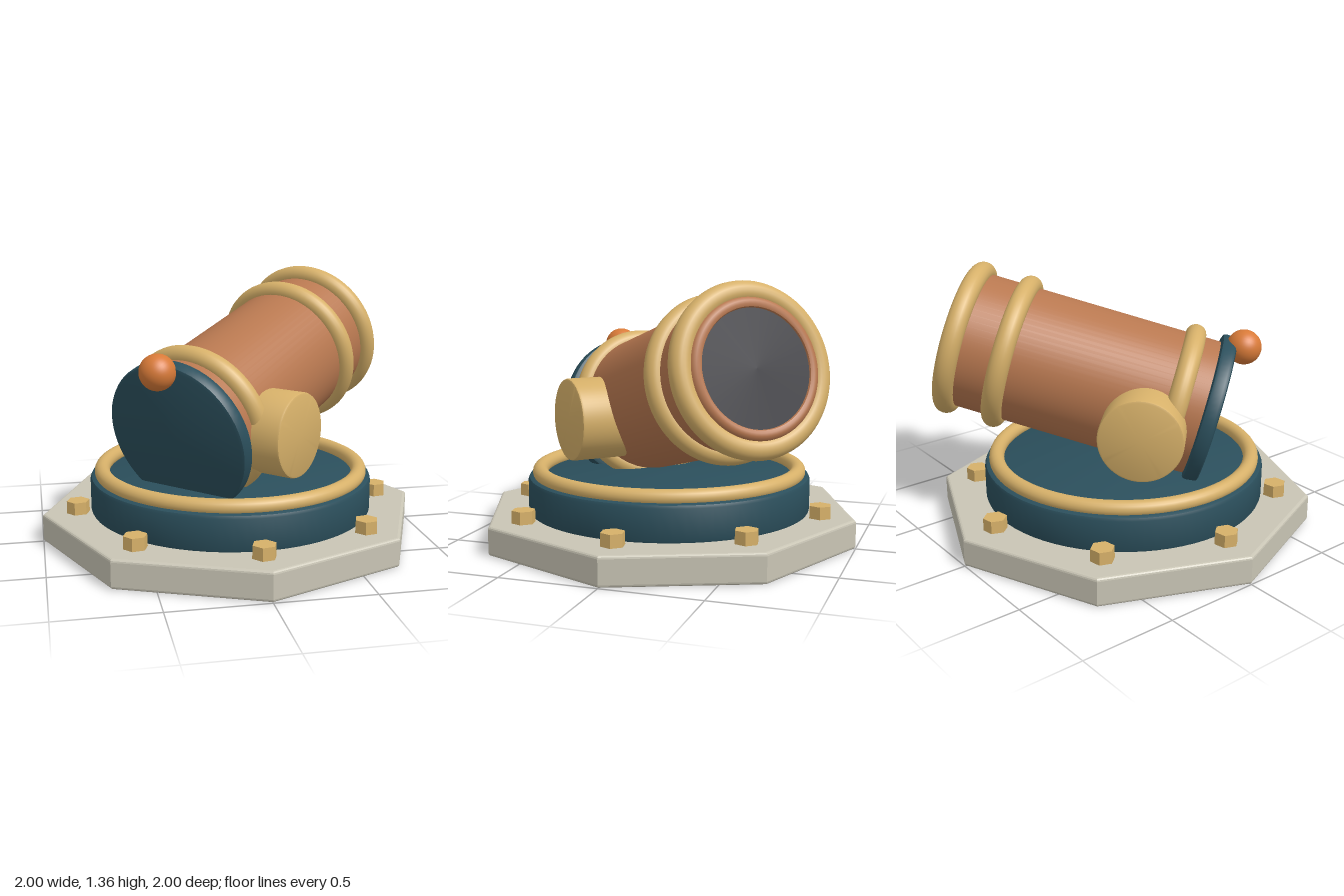
import * as THREE from 'three';
import { toCreasedNormals } from 'three/addons/utils/BufferGeometryUtils.js';

const paint = (name, color) => {
  const m = new THREE.MeshStandardMaterial({ color });
  m.name = name;
  return m;
};

export function createModel() {
  const stone = paint('stone', 0xc9c5b5);
  const teal = paint('teal', 0x2b4f5c);
  const brass = paint('brass', 0xd6b069);
  const copper = paint('copper', 0xb87850);
  const orange = paint('orange', 0xd87a38);
  const dark = paint('dark', 0x1e1e28);

  const model = new THREE.Group();
  model.name = 'mortar';

  const add = (parent, name, geometry, material, x = 0, y = 0, z = 0) => {
    const mesh = new THREE.Mesh(geometry, material);
    mesh.name = name;
    mesh.position.set(x, y, z);
    parent.add(mesh);
    return mesh;
  };

  const lathe = (points, segments = 72) => toCreasedNormals(
    new THREE.LatheGeometry(points.map(([r, y]) => new THREE.Vector2(r, y)), segments), 0.6);

  // Solid disc from y0 to y1 with softened edges
  const disc = (r, y0, y1, b) => {
    const k = b * 0.3;
    return lathe([
      [0, y0], [r - b, y0], [r - k, y0 + k], [r, y0 + b],
      [r, y1 - b], [r - k, y1 - k], [r - b, y1], [0, y1],
    ]);
  };

  const ring = (r, tube) => new THREE.TorusGeometry(r, tube, 20, 80).rotateX(Math.PI / 2);

  // Octagonal base plate with corners on the axes
  const bevel = 0.015;
  const corner = 1 - bevel / Math.cos(Math.PI / 8);
  const octagon = new THREE.Shape();
  for (let i = 0; i < 8; i++) {
    const a = i * Math.PI / 4;
    octagon[i ? 'lineTo' : 'moveTo'](corner * Math.cos(a), corner * Math.sin(a));
  }
  octagon.closePath();
  const plate = new THREE.ExtrudeGeometry(octagon, {
    depth: 0.15 - 2 * bevel, bevelEnabled: true, bevelSize: bevel,
    bevelThickness: bevel, bevelSegments: 3,
  });
  plate.rotateX(-Math.PI / 2).translate(0, bevel, 0);
  add(model, 'basePlate', plate, stone);

  // Turntable and its trim
  add(model, 'turntable', disc(0.745, 0.14, 0.335, 0.02), teal);
  add(model, 'turntableRing', ring(0.682, 0.04), brass, 0, 0.355, 0);

  // Hex bolts around the base
  for (let i = 0; i < 8; i++) {
    const a = i * Math.PI / 4;
    const head = toCreasedNormals(new THREE.CylinderGeometry(0.06, 0.062, 0.075, 6), 0.3);
    const bolt = add(model, 'bolt', head, brass, 0.815 * Math.cos(a), 0.1775, 0.815 * Math.sin(a));
    bolt.rotation.y = -0.35;
  }

  // Barrel group: local y runs to the muzzle, local x along the trunnions
  const tilt = Math.PI / 12, h = Math.SQRT1_2;
  const c = Math.cos(tilt), s = Math.sin(tilt);
  const barrel = new THREE.Group();
  barrel.name = 'barrelAssembly';
  barrel.quaternion.setFromRotationMatrix(new THREE.Matrix4().makeBasis(
    new THREE.Vector3(h, 0, h),
    new THREE.Vector3(c * h, s, -c * h),
    new THREE.Vector3(-s * h, c, s * h)));
  barrel.position.y = 0.738;
  model.add(barrel);

  // Tube with a rounded muzzle lip and a shallow bore
  add(barrel, 'barrel', lathe([
    [0, -0.44], [0.36, -0.44], [0.36, 0.87], [0.335, 0.9], [0.326, 0.92], [0.31, 0.932],
    [0.295, 0.934], [0.282, 0.928], [0.276, 0.915], [0, 0.915],
  ]), copper);
  add(barrel, 'bore', new THREE.CircleGeometry(0.278, 64).rotateX(-Math.PI / 2), dark, 0, 0.92, 0);

  // Reinforcing bands
  for (const y of [-0.29, 0.61, 0.87]) add(barrel, 'band', ring(0.36, 0.054), brass, 0, y, 0);

  // Breech plate and knob
  add(barrel, 'breechPlate', disc(0.405, -0.505, -0.425, 0.02), teal);
  add(barrel, 'knob', new THREE.SphereGeometry(0.09, 40, 28), orange, 0, -0.541, 0.385);

  // Trunnions, set a little below the barrel axis
  for (const side of [-1, 1]) {
    const trunnion = add(barrel, side > 0 ? 'trunnionFront' : 'trunnionBack',
      disc(0.215, 0, 0.515, 0.012), brass, 0, -0.168, -0.067);
    trunnion.rotation.z = -side * Math.PI / 2;
  }

  return model;
}
